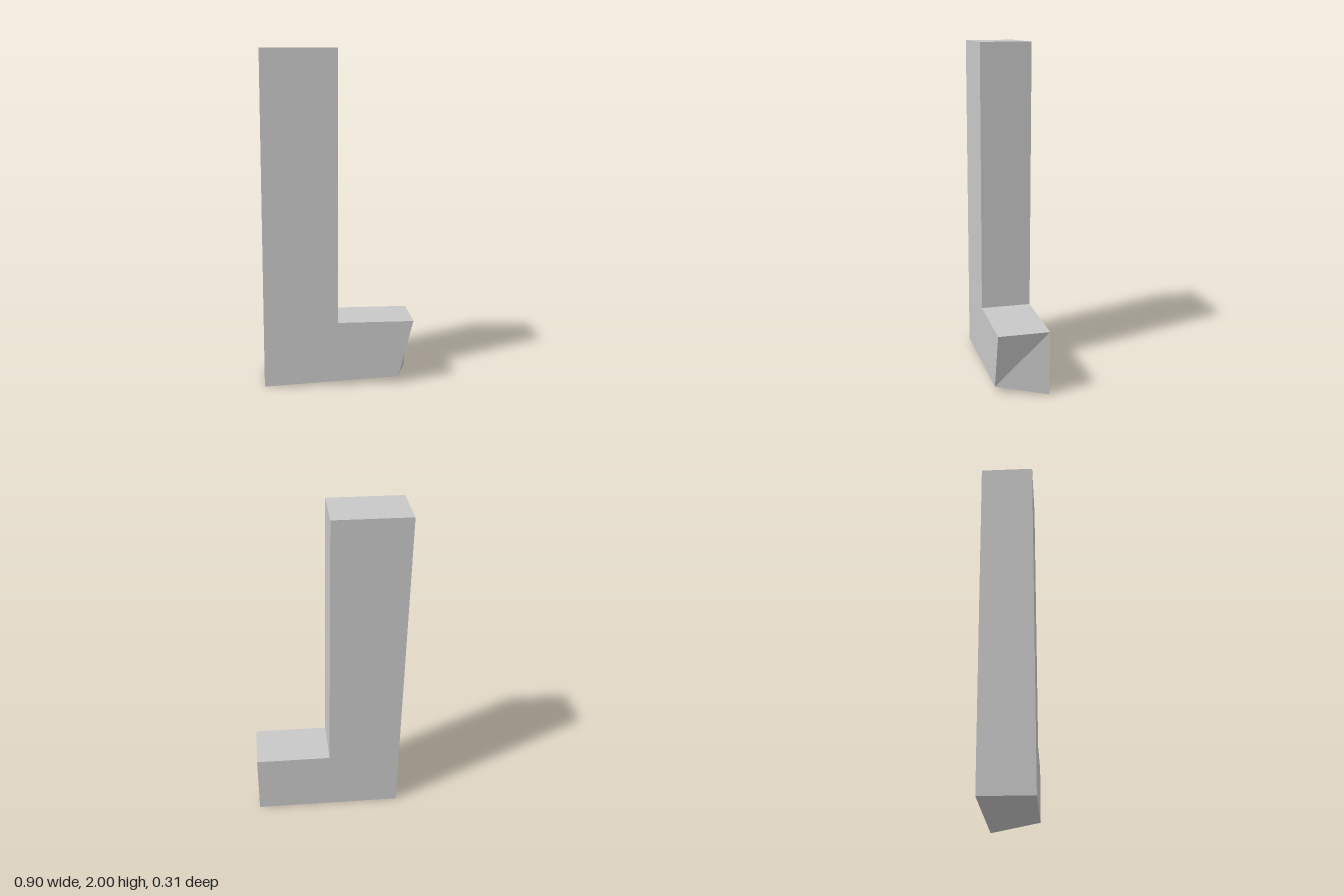
import * as THREE from 'three';

export function createModel() {
  const group = new THREE.Group();
  const grey = new THREE.MeshStandardMaterial({ color: 0xc8c8c8 });
  grey.name = 'grey';

  // L-shaped outline: tall post with a short foot towards +x
  const outline = [
    [-0.45, 0], [0.45, 0], [0.45, 0.39], [-0.007, 0.39], [-0.007, 2], [-0.45, 2],
  ].map(([x, y]) => new THREE.Vector2(x, y));
  const depth = 0.305;
  const geometry = new THREE.ExtrudeGeometry(new THREE.Shape(outline), { depth, bevelEnabled: false });
  geometry.translate(0, 0, -depth / 2);

  // Pull in the lower front corner of the foot
  const p = geometry.attributes.position;
  for (let i = 0; i < p.count; i++) {
    if (p.getX(i) > 0.4 && p.getY(i) < 0.1 && p.getZ(i) > 0) p.setXY(i, 0.36, 0.04);
  }
  geometry.computeVertexNormals();

  const post = new THREE.Mesh(geometry, grey);
  post.name = 'postWithFoot';
  group.add(post);
  return group;
}
